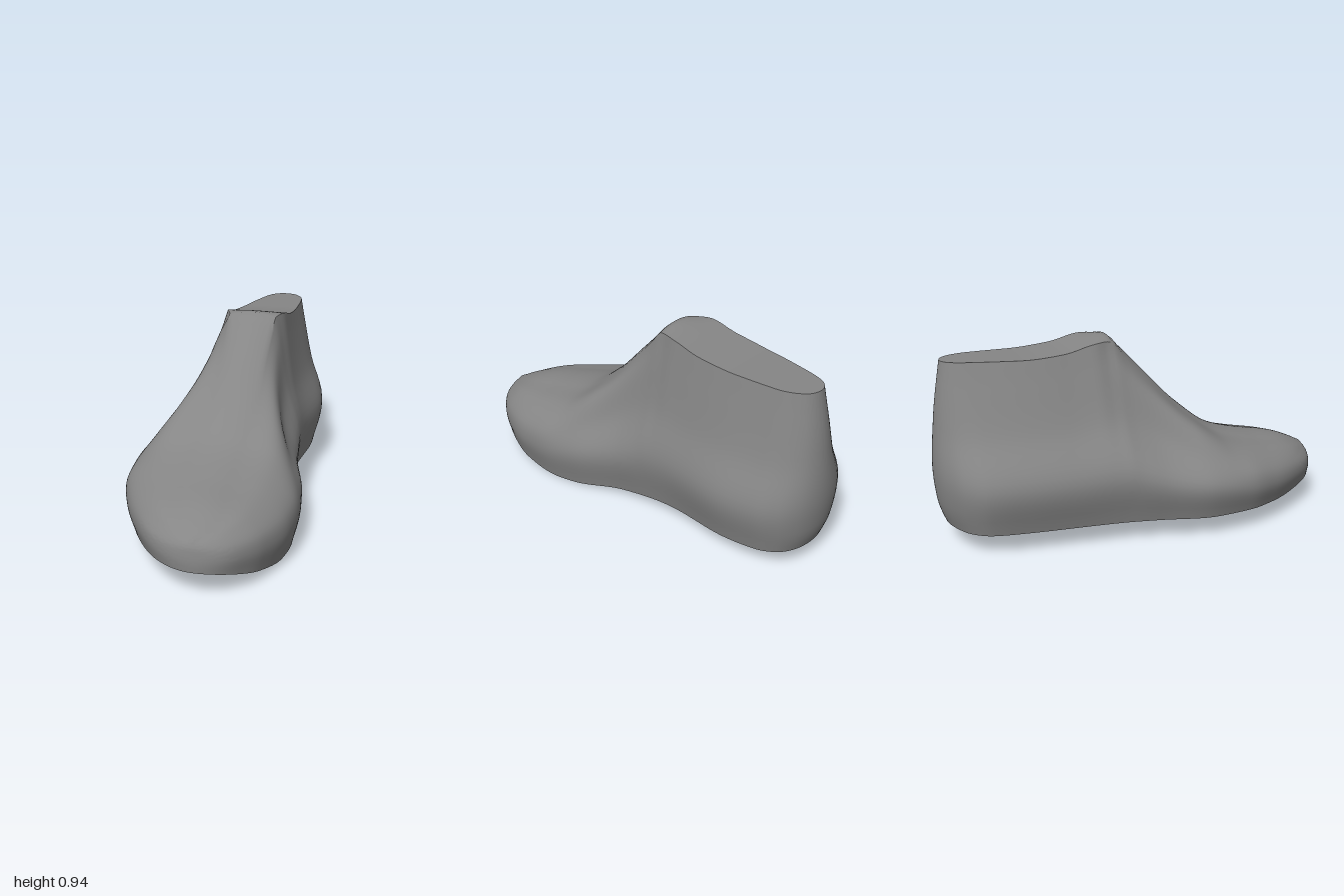
import * as THREE from 'three';
import { toCreasedNormals } from 'three/addons/utils/BufferGeometryUtils.js';

const { lerp, smoothstep } = THREE.MathUtils;

// Plan outline: position along the foot, left x, right x
const outline = [
  [-1, 0.06, 0.06], [-0.96, 0.21, -0.1], [-0.9, 0.278, -0.195], [-0.8, 0.325, -0.262], [-0.62, 0.345, -0.295],
  [-0.25, 0.311, -0.33], [0, 0.33, -0.37], [0.25, 0.396, -0.419], [0.45, 0.418, -0.4],
  [0.6, 0.405, -0.345], [0.8, 0.335, -0.225], [0.9, 0.268, -0.14], [0.96, 0.205, -0.06], [1, 0.08, 0.08],
];
// Edge of the top plate, fading into the crest of the instep and toes
const crest = [
  [-1, 0.08, 0.08], [-0.95, 0.15, 0.015], [-0.8, 0.195, -0.03], [-0.4, 0.207, -0.09],
  [-0.25, 0.203, -0.088], [-0.15, 0.178, -0.055], [0, 0.16, -0.05], [0.45, 0.14, -0.1],
  [0.8, 0.15, -0.04], [1, 0.08, 0.08],
];
// Side profile of the top
const ridge = [
  [-1, 0.87], [-0.6, 0.87], [-0.4, 0.885], [-0.15, 0.94], [-0.1, 0.893], [0, 0.79],
  [0.2, 0.585], [0.4, 0.44], [0.6, 0.378], [0.8, 0.335], [0.94, 0.287], [1, 0.26],
];
// Height of the left sole edge
const leftEdge = [[-1, 0.1], [-0.4, 0.08], [0, 0.045], [0.4, 0.002], [0.6, 0.018], [0.8, 0.055], [1, 0.122]];
// How far the heel and toe ends draw in at each height
const heelInset = [[0.08, 0.05], [0.2, 0.012], [0.35, 0], [0.6, 0.02], [0.9, 0.068]];
const toeInset = [[0.1, 0.004], [0.16, 0], [0.22, 0.006], [0.27, 0.03]];

// Smooth interpolation through one column of a table, without overshoot
function sample(table, col, x, map = (v) => v) {
  const n = table.length, X = (i) => map(table[i][0]), Y = (i) => table[i][col];
  const u = Math.min(Math.max(map(x), X(0)), X(n - 1));
  let k = 0;
  while (k < n - 2 && u > X(k + 1)) k++;
  const slope = (i) => (Y(i + 1) - Y(i)) / (X(i + 1) - X(i));
  const tangent = (i) => {
    if (i === 0) return slope(0);
    if (i === n - 1) return slope(n - 2);
    const a = slope(i - 1), b = slope(i);
    return a * b <= 0 ? 0 : (2 * a * b) / (a + b);
  };
  const w = X(k + 1) - X(k), t = (u - X(k)) / w, t2 = t * t, t3 = t2 * t;
  return (2 * t3 - 3 * t2 + 1) * Y(k) + (t3 - 2 * t2 + t) * w * tangent(k)
    + (3 * t2 - 2 * t3) * Y(k + 1) + (t3 - t2) * w * tangent(k + 1);
}

// One cross-section, split into the upper and the sole
function section(s) {
  const top = sample(ridge, 1, s);
  const soleY = [sample(leftEdge, 1, s), lerp(0.1, 0.122, smoothstep(s, 0.6, 1))];
  const soleRatio = lerp(0.86, 0.92, smoothstep(s, -0.2, 0.3));
  const bulge = lerp(0.29, 0.38, smoothstep(s, 0, 0.4));
  const rim = lerp(1, 0.955, smoothstep(s, -0.3, -0.02));
  // Height fraction and spread between crest and outline, from the bulge upwards
  const levels = [
    [bulge, 1],
    [lerp(bulge, 1, 0.4), lerp(0.5, 0.92, smoothstep(s, -0.15, 0.5))],
    [lerp(bulge, 1, 0.78), lerp(0.17, 0.52, smoothstep(s, -0.25, 0.35))],
    [rim, 0],
  ];
  const outer = [1, 2].map((c) => sample(outline, c, s, Math.asin));
  const inner = [1, 2].map((c) => sample(crest, c, s, Math.asin));
  const mid = (outer[0] + outer[1]) / 2;
  const wall = (side) => {
    const pts = [new THREE.Vector3(lerp(mid, outer[side], soleRatio), soleY[side], 0)];
    for (const [f, spread] of levels) {
      pts.push(new THREE.Vector3(lerp(inner[side], outer[side], spread), lerp(soleY[side], top, f), 0));
    }
    return new THREE.CatmullRomCurve3(pts).getPoints(24);
  };
  // Curve from a to b, arched up or down by rise
  const arch = (a, b, rise) => Array.from({ length: 13 }, (_, i) => {
    const t = i / 12, p = new THREE.Vector3().lerpVectors(a, b, t);
    p.y += 4 * t * (1 - t) * rise;
    return p;
  });
  const left = wall(0), right = wall(1).reverse();
  const a = left[24], b = right[0];
  const lid = arch(a, b, top - (a.y + b.y) / 2).slice(1, -1);
  const sole = arch(right[24], left[0], -0.32 * Math.abs(soleY[1] - soleY[0]));
  const place = ({ x, y }) => {
    const inset = s < 0 ? sample(heelInset, 1, y) : -sample(toeInset, 1, y);
    return new THREE.Vector3(x, y, s + inset * Math.abs(s) ** 6);
  };
  return { upper: [...left, ...lid, ...right].map(place), sole: sole.map(place) };
}

// Skin a row of cross-sections
function skin(rows) {
  const n = rows[0].length, index = [];
  for (let i = 0; i < rows.length - 1; i++) {
    for (let j = 0; j < n - 1; j++) {
      const a = i * n + j, c = a + n;
      index.push(a, a + 1, c, a + 1, c + 1, c);
    }
  }
  const geo = new THREE.BufferGeometry().setFromPoints(rows.flat());
  geo.setIndex(index);
  return toCreasedNormals(geo, 0.75);
}

export function createModel() {
  const group = new THREE.Group();
  group.name = 'shoeLast';
  const material = new THREE.MeshStandardMaterial({ color: 0x868686 });
  // Sections crowd together towards the rounded heel and toe
  const count = 128;
  const sections = Array.from({ length: count + 1 }, (_, i) => section(Math.sin((i / count - 0.5) * Math.PI)));
  for (const name of ['upper', 'sole']) {
    const mesh = new THREE.Mesh(skin(sections.map((r) => r[name])), material);
    mesh.name = name;
    group.add(mesh);
  }
  return group;
}
